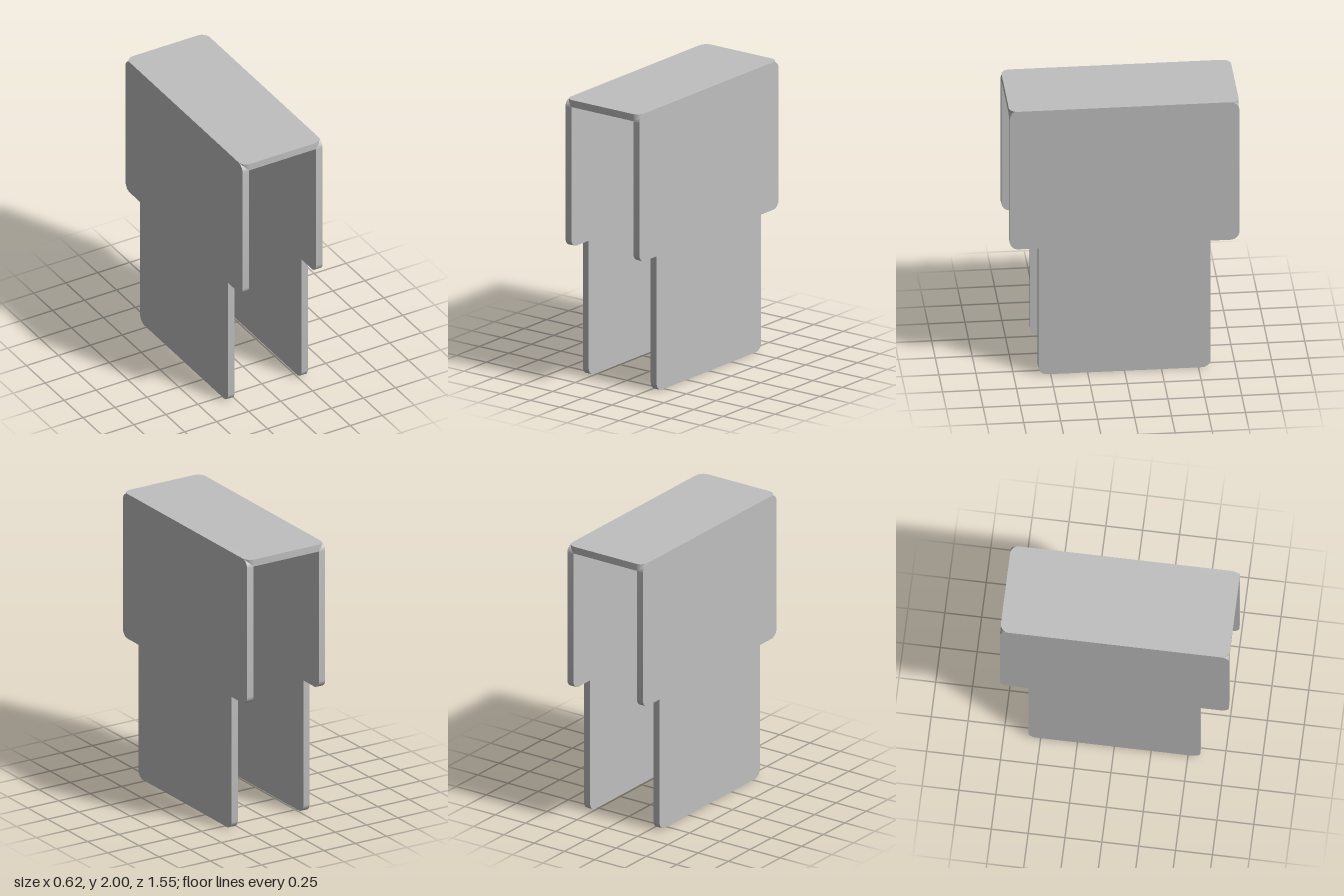
import * as THREE from 'three';
import { toCreasedNormals } from 'three/addons/utils/BufferGeometryUtils.js';

const THICK = 0.05, RADIUS = 0.06;
const HALF_X = 0.312, HALF_Z = 0.777, LEG_Z = 0.583, STEP_Y = 0.957, HEIGHT = 2;

// Closed outline from [x, y, rounded] corners, running counter-clockwise
function roundedOutline(corners) {
  const shape = new THREE.Shape();
  const n = corners.length;
  corners.forEach(([x, y, rounded], i) => {
    const here = new THREE.Vector2(x, y);
    const toward = (j) => {
      const [ox, oy] = corners[(j + n) % n];
      return new THREE.Vector2(ox - x, oy - y).setLength(RADIUS).add(here);
    };
    const start = rounded ? toward(i - 1) : here;
    if (i === 0) shape.moveTo(start.x, start.y);
    else shape.lineTo(start.x, start.y);
    if (rounded) {
      const end = toward(i + 1);
      const c = start.clone().add(end).sub(here);
      shape.absarc(c.x, c.y, RADIUS, Math.atan2(start.y - c.y, start.x - c.x),
        Math.atan2(end.y - c.y, end.x - c.x), false);
    }
  });
  shape.closePath();
  return shape;
}

// Flat plate centred on its thickness, with smooth corner arcs
function plate(name, corners, material) {
  const geometry = new THREE.ExtrudeGeometry(roundedOutline(corners), {
    depth: THICK, bevelEnabled: false, curveSegments: 12,
  });
  geometry.translate(0, 0, -THICK / 2);
  const mesh = new THREE.Mesh(toCreasedNormals(geometry, 0.5), material);
  mesh.name = name;
  return mesh;
}

export function createModel() {
  const grey = new THREE.MeshStandardMaterial({ color: 0xbfbfbf });
  grey.name = 'plain grey';
  const model = new THREE.Group();
  model.name = 'channelBracket';

  // Stepped side panels, wide above and narrow below
  const sideCorners = [
    [-LEG_Z, 0, true], [LEG_Z, 0, true],
    [LEG_Z, STEP_Y, false], [HALF_Z, STEP_Y, true],
    [HALF_Z, HEIGHT, true], [-HALF_Z, HEIGHT, true],
    [-HALF_Z, STEP_Y, true], [-LEG_Z, STEP_Y, false],
  ];
  for (const [name, side] of [['leftPanel', 1], ['rightPanel', -1]]) {
    const panel = plate(name, sideCorners, grey);
    panel.rotation.y = Math.PI / 2;
    panel.position.x = side * (HALF_X - THICK / 2);
    model.add(panel);
  }

  // Top panel joining the sides
  const top = plate('topPanel', [
    [-HALF_X, -HALF_Z, true], [HALF_X, -HALF_Z, true],
    [HALF_X, HALF_Z, true], [-HALF_X, HALF_Z, true],
  ], grey);
  top.rotation.x = -Math.PI / 2;
  top.position.y = HEIGHT - THICK / 2;
  model.add(top);

  return model;
}
